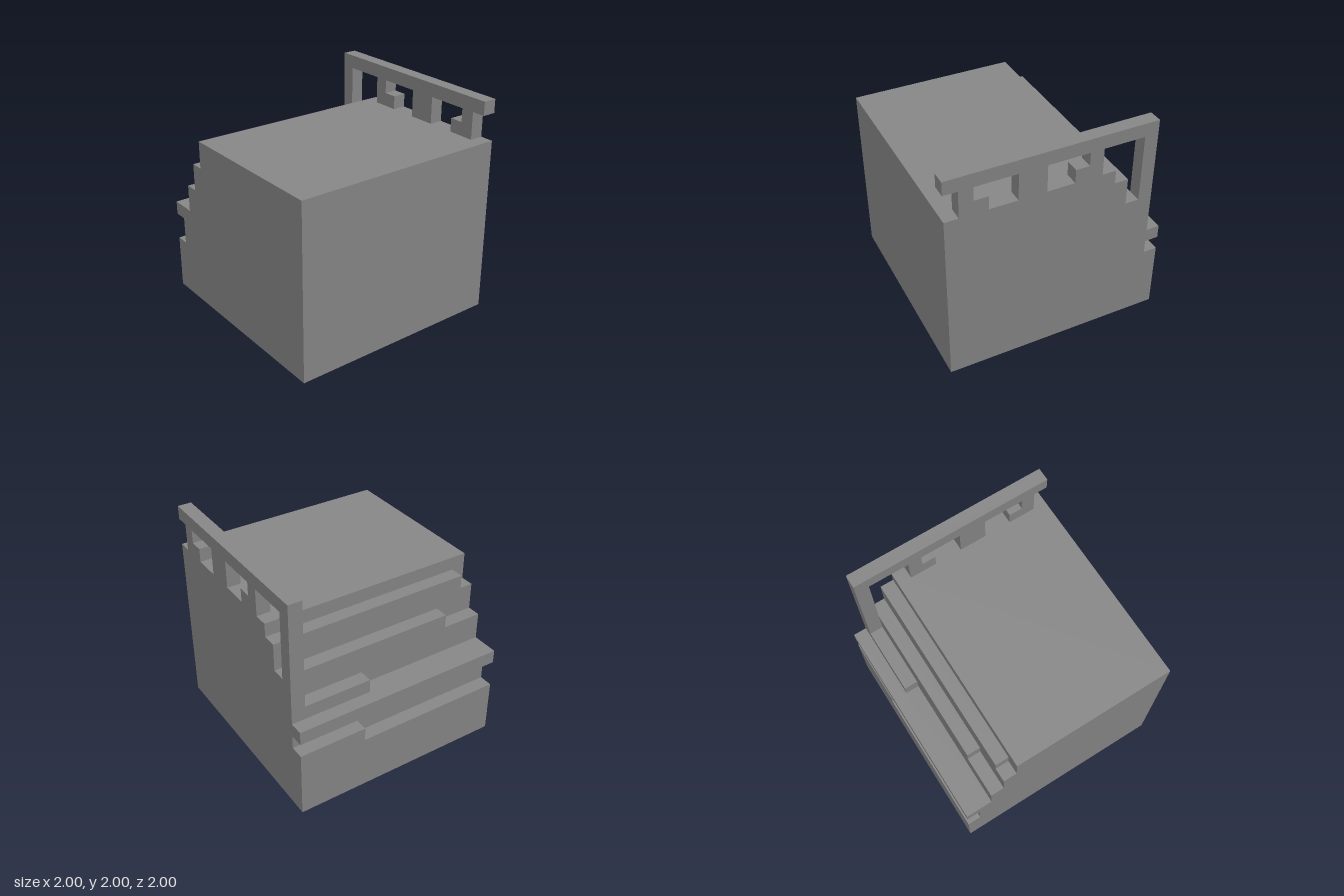
import * as THREE from 'three';

const U = 0.125; // one block of the grid; all layouts below are in blocks

export function createModel() {
  const group = new THREE.Group();
  const stone = new THREE.MeshStandardMaterial({ color: 0x868686 });
  stone.name = 'stone grey';

  // Extrudes an x-y outline (in blocks) between two z positions
  function slab(name, points, z0, z1) {
    const shape = new THREE.Shape(points.map(([x, y]) => new THREE.Vector2(x * U, y * U)));
    const geometry = new THREE.ExtrudeGeometry(shape, { depth: (z1 - z0) * U, bevelEnabled: false });
    geometry.translate(0, 0, z0 * U);
    const mesh = new THREE.Mesh(geometry, stone);
    mesh.name = name;
    group.add(mesh);
  }

  // Terraced cliff: solid block with stepped side and a notch under the lower ledge
  slab('cliff', [
    [-8, 0], [8, 0], [8, 13], [-4, 13], [-4, 11], [-5, 11], [-5, 9], [-6, 9],
    [-6, 7], [-8, 7], [-8, 6], [-7, 6], [-7, 4], [-8, 4],
  ], -8, 8);

  // Raised strips on the steps, one block high: [x, y, back z, front z]
  const strips = [[-8, 4, -8, -3], [-7, 7, -7, -2], [-6, 9, -8, 5], [-5, 11, -8, 7]];
  strips.forEach(([x, y, z0, z1], i) =>
    slab(`raisedStep${i + 1}`, [[x, y], [x + 1, y], [x + 1, y + 1], [x, y + 1]], z0, z1));

  // Railing along the back edge: tall end post, top beam and short posts with feet
  slab('railing', [
    [-7, 7], [-6, 7], [-6, 15], [-3, 15], [-3, 13], [-1, 13], [-1, 14], [-2, 14], [-2, 15],
    [1, 15], [1, 13], [3, 13], [3, 15], [6, 15], [6, 14], [5, 14], [5, 13], [7, 13],
    [7, 15], [8, 15], [8, 16], [-7, 16],
  ], -8, -7);

  return group;
}
